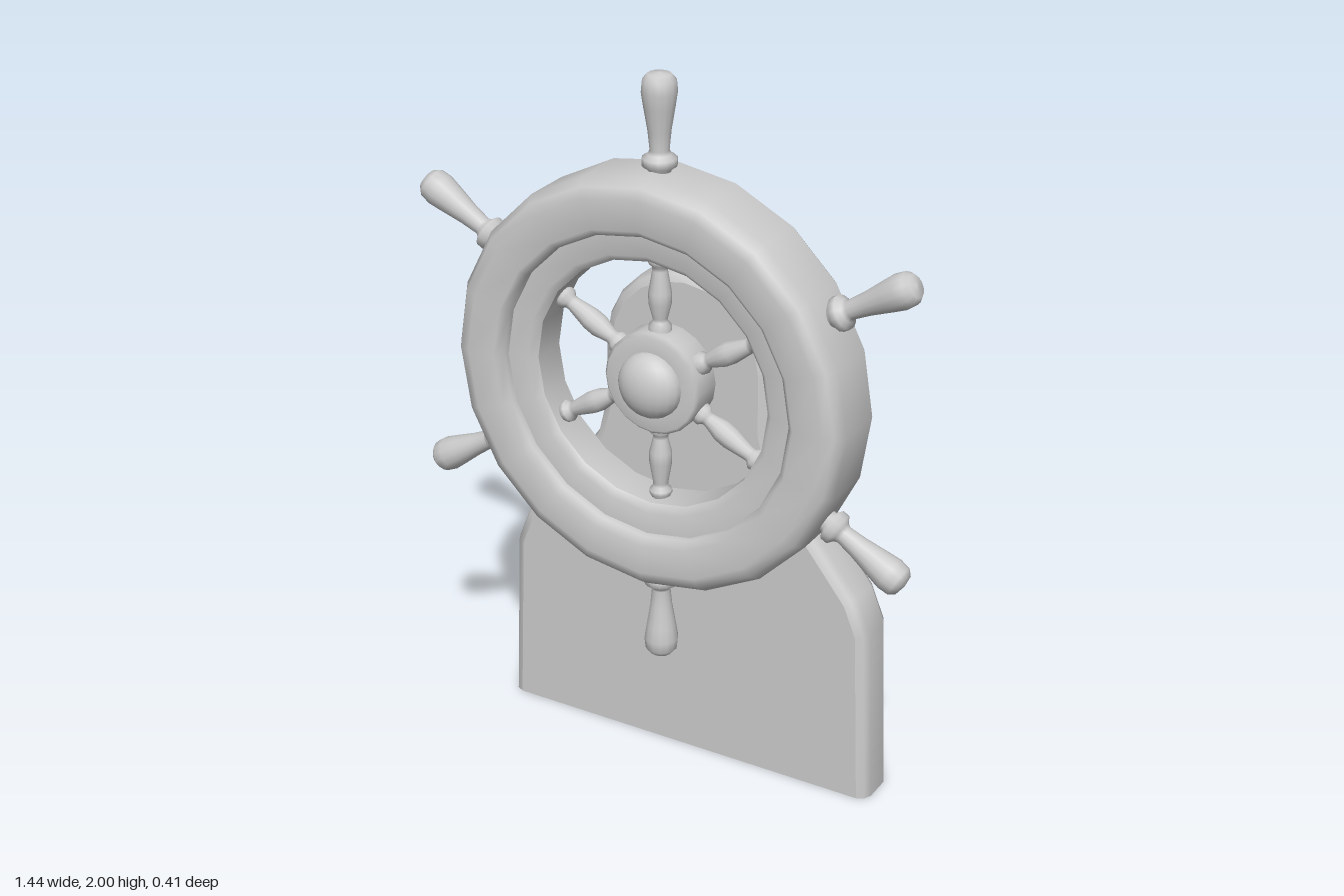
import * as THREE from 'three';

const HUB_Y = 1.18;
const WHEEL_Z = 0.09;
const material = new THREE.MeshStandardMaterial({ color: 0xcccccc });
const openMaterial = new THREE.MeshStandardMaterial({ color: 0xcccccc, side: THREE.DoubleSide });

function addMesh(parent, name, geometry, mat = material) {
  const mesh = new THREE.Mesh(geometry, mat);
  mesh.name = name;
  parent.add(mesh);
  return mesh;
}

const turned = (profile, sides) =>
  new THREE.LatheGeometry(profile.map(([r, h]) => new THREE.Vector2(r, h)), sides);

// Turned about the wheel's axle, profile heights running along z
const turnedOnAxle = (profile, sides) => turned(profile, sides).rotateX(Math.PI / 2);

// Upright board: outline lofted through a rounded edge, open underneath
function createStand() {
  const stand = new THREE.Group();
  stand.name = 'stand';

  const side = [[0.57, 0], [0.55, 0.5], [0.51, 0.6], [0.36, 0.79], [0.28, 0.9], [0.25, 1.02]];
  const outline = side.map(([x, y]) => new THREE.Vector2(x, y));
  for (let i = 0; i <= 10; i++) {
    const a = (i / 10) * Math.PI;
    outline.push(new THREE.Vector2(0.25 * Math.cos(a), HUB_Y + 0.25 * Math.sin(a)));
  }
  for (const [x, y] of side.slice().reverse()) outline.push(new THREE.Vector2(-x, y));

  const last = outline.length - 1;
  const inset = (d) => outline.map((p, i) => {
    const t = outline[Math.min(i + 1, last)].clone().sub(outline[Math.max(i - 1, 0)]).normalize();
    const lift = i === 0 || i === last ? 0 : t.x * d;
    return new THREE.Vector2(p.x - t.y * d, p.y + lift);
  });

  const section = [[0.03, -0.17], [0.01, -0.16], [0, -0.14], [0, -0.06], [0.01, -0.04], [0.03, -0.03]];
  const positions = [];
  const indices = [];
  const n = outline.length;
  section.forEach(([d, z], j) => {
    for (const p of inset(d)) positions.push(p.x, p.y, z);
    if (j === 0) return;
    for (let i = 0; i < last; i++) {
      const a = (j - 1) * n + i;
      indices.push(a, a + 1, a + n, a + 1, a + n + 1, a + n);
    }
  });
  const edge = new THREE.BufferGeometry();
  edge.setAttribute('position', new THREE.Float32BufferAttribute(positions, 3));
  edge.setIndex(indices);
  edge.computeVertexNormals();
  addMesh(stand, 'standEdge', edge, openMaterial);

  // Flat faces of the board
  const face = new THREE.ShapeGeometry(new THREE.Shape(inset(0.03)));
  addMesh(stand, 'standFront', face, openMaterial).position.z = -0.03;
  const back = addMesh(stand, 'standBack', face, openMaterial);
  back.position.z = -0.17;
  back.rotation.y = Math.PI;

  // Axle cap on the back
  const cap = turnedOnAxle([[0, -0.205], [0.1, -0.205], [0.11, -0.2], [0.12, -0.17], [0.12, -0.15]], 12);
  addMesh(stand, 'axleCap', cap).position.y = HUB_Y;
  return stand;
}

function createWheel() {
  const wheel = new THREE.Group();
  wheel.name = 'wheel';
  wheel.position.set(0, HUB_Y, WHEEL_Z);

  // Outer rim with rounded corners
  addMesh(wheel, 'rim', turnedOnAxle([
    [0.42, -0.06], [0.42, -0.09], [0.44, -0.11], [0.52, -0.11], [0.55, -0.1], [0.57, -0.07],
    [0.57, 0.07], [0.55, 0.1], [0.52, 0.11], [0.44, 0.11], [0.42, 0.09], [0.42, 0.06],
  ], 20));

  // Recessed inner band
  addMesh(wheel, 'innerRim', turnedOnAxle([
    [0.34, 0.05], [0.34, -0.05], [0.36, -0.07], [0.43, -0.07],
  ], 20));
  addMesh(wheel, 'innerRimFront', turnedOnAxle([
    [0.43, 0.07], [0.36, 0.07], [0.34, 0.05],
  ], 20));

  // Hub, axle and front boss
  addMesh(wheel, 'hub', turnedOnAxle([
    [0, -0.06], [0.12, -0.06], [0.14, -0.04], [0.14, 0.04], [0.13, 0.05], [0.09, 0.05], [0, 0.05],
  ], 20));
  addMesh(wheel, 'axle', turnedOnAxle([[0.055, -0.14], [0.055, -0.05]], 12));
  const boss = addMesh(wheel, 'boss', new THREE.SphereGeometry(0.09, 20, 12));
  boss.position.z = 0.05;
  boss.scale.z = 0.65;

  // Spokes and handles, six of each
  const spoke = turned([
    [0.03, 0.12], [0.03, 0.15], [0.02, 0.16], [0.02, 0.17], [0.03, 0.21], [0.03, 0.24],
    [0.02, 0.3], [0.02, 0.31], [0.03, 0.32], [0.03, 0.33], [0.02, 0.35],
  ], 12);
  const handle = turned([
    [0.03, 0.55], [0.03, 0.57], [0.045, 0.58], [0.045, 0.6], [0.03, 0.61], [0.025, 0.62],
    [0.03, 0.67], [0.04, 0.73], [0.046, 0.77], [0.043, 0.8], [0.03, 0.815], [0, 0.82],
  ], 14);
  for (let i = 0; i < 6; i++) {
    const arm = new THREE.Group();
    arm.name = `arm${i + 1}`;
    arm.rotation.z = (i * Math.PI) / 3;
    addMesh(arm, 'spoke', spoke);
    addMesh(arm, 'handle', handle);
    wheel.add(arm);
  }
  return wheel;
}

export function createModel() {
  const model = new THREE.Group();
  model.name = 'shipWheel';
  model.add(createStand(), createWheel());
  return model;
}
